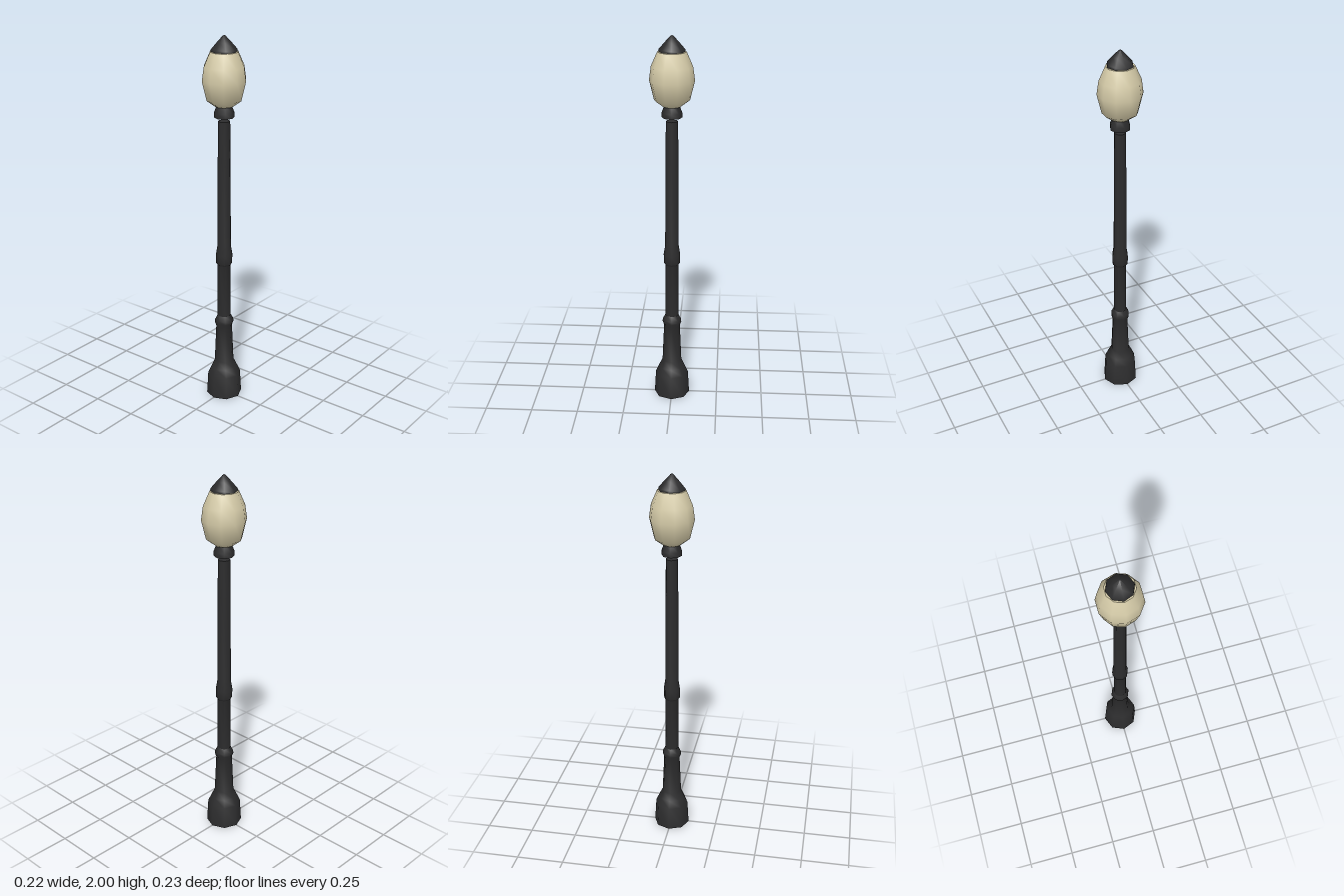
import * as THREE from 'three';
import { toCreasedNormals } from 'three/addons/utils/BufferGeometryUtils.js';

// Turns a bottom-to-top profile of [radius, height] points around the y axis.
function turned(name, profile, sides, material) {
  const points = profile.map(([r, y]) => new THREE.Vector2(r, y));
  const geometry = toCreasedNormals(new THREE.LatheGeometry(points, sides), 0.9);
  const mesh = new THREE.Mesh(geometry, material);
  mesh.name = name;
  return mesh;
}

export function createModel() {
  const iron = new THREE.MeshStandardMaterial({ color: 0x2c2c2d });
  iron.name = 'dark iron';
  const glass = new THREE.MeshStandardMaterial({ color: 0xd6cca9 });
  glass.name = 'cream glass';

  const lamp = new THREE.Group();
  lamp.name = 'streetLamp';

  // Flared foot with its stepped neck
  lamp.add(turned('base', [
    [0, 0], [0.096, 0], [0.089, 0.125], [0.071, 0.165], [0.052, 0.205],
    [0.043, 0.415], [0.051, 0.435], [0.05, 0.452], [0.036, 0.478], [0, 0.478],
  ], 8, iron));

  // Tapering pole with a raised ring
  lamp.add(turned('pole', [
    [0.036, 0.47], [0.035, 0.775], [0.043, 0.785], [0.044, 0.835],
    [0.036, 0.885], [0.033, 1.37], [0.031, 1.565], [0, 1.565],
  ], 8, iron));

  // Collar floating just above the pole
  lamp.add(turned('collar', [
    [0, 1.585], [0.052, 1.585], [0.052, 1.61], [0.037, 1.65], [0, 1.65],
  ], 8, iron));

  // Ten-sided egg-shaped globe
  lamp.add(turned('globe', [
    [0, 1.638], [0.048, 1.643], [0.091, 1.675], [0.115, 1.775],
    [0.105, 1.845], [0.073, 1.918], [0, 1.918],
  ], 10, glass));

  // Pointed cap
  lamp.add(turned('cap', [
    [0, 1.919], [0.068, 1.919], [0.066, 1.93], [0.035, 1.966], [0.008, 1.995], [0, 2],
  ], 8, iron));

  return lamp;
}
